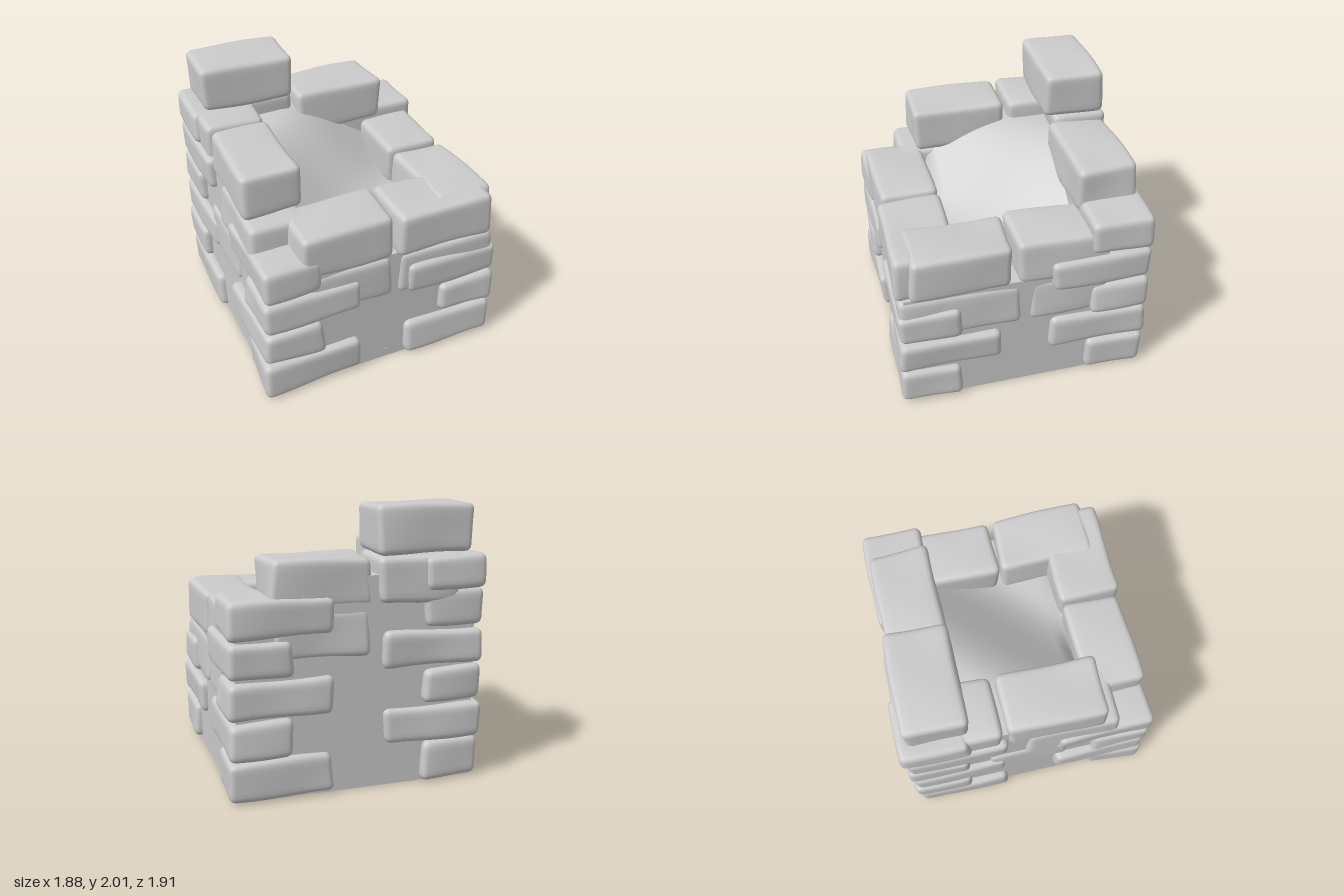
import * as THREE from 'three';
import { mergeVertices } from 'three/addons/utils/BufferGeometryUtils.js';

const material = new THREE.MeshStandardMaterial({ color: 0xcccccc });

// Small seeded generator, so that every stone is worn a little differently
let seed = 7;
const rand = () => {
  seed = (seed * 16807) % 2147483647;
  return seed / 2147483647;
};

// Worn stone filling the given bounds: rounded box with its corners pulled inwards
function stone(name, x0, x1, y0, y1, z0, z1, wear = 0.035) {
  const half = [(x1 - x0) / 2, (y1 - y0) / 2, (z1 - z0) / 2];
  const radius = Math.min(0.05, Math.min(...half) * 0.6);
  const pulls = Array.from({ length: 8 }, () => [rand() * wear, rand() * wear * 0.6, rand() * wear]);
  const phase = rand() * 6;
  let geometry = new THREE.BoxGeometry(2, 2, 2, 10, 10, 10);
  geometry.deleteAttribute('uv');
  geometry.deleteAttribute('normal');
  geometry = mergeVertices(geometry);
  const pos = geometry.attributes.position;
  const p = new THREE.Vector3();
  const inner = new THREE.Vector3();
  for (let i = 0; i < pos.count; i++) {
    p.fromBufferAttribute(pos, i);
    const u = p.toArray();
    // Crowd the grid lines into the rounded rim
    const q = u.map((v, a) => {
      const k = 1 - radius / half[a];
      const m = Math.abs(v);
      const t = m > 0.6 ? k + ((m - 0.6) / 0.4) * (1 - k) : (m / 0.6) * k;
      return Math.sign(v) * t * half[a];
    });
    p.fromArray(q);
    inner.fromArray(q.map((v, a) => THREE.MathUtils.clamp(v, radius - half[a], half[a] - radius)));
    p.sub(inner).setLength(radius).add(inner);
    // Blend the corner pulls across the stone, then add a slow ripple
    const out = p.toArray();
    const f = out.map((v, a) => v / half[a]);
    const pull = [0, 0, 0];
    for (let c = 0; c < 8; c++) {
      const w = [0, 1, 2].reduce((s, a) => s * (0.5 + ((c >> a) & 1 ? 0.5 : -0.5) * f[a]), 1);
      for (let a = 0; a < 3; a++) pull[a] += w * pulls[c][a];
    }
    const ripple = 0.006 * Math.sin(7 * p.x + 5 * p.y + 6 * p.z + phase);
    pos.setXYZ(i, ...out.map((v, a) => v - f[a] * (pull[a] + ripple)));
  }
  geometry.computeVertexNormals();
  const mesh = new THREE.Mesh(geometry, material);
  mesh.position.set((x0 + x1) / 2, (y0 + y1) / 2, (z0 + z1) / 2);
  mesh.name = name;
  return mesh;
}

// Solid core whose rough top slopes down from the back corner
function core() {
  const size = 1.74;
  const geometry = new THREE.BoxGeometry(size, 1, size, 24, 1, 24);
  const pos = geometry.attributes.position;
  for (let i = 0; i < pos.count; i++) {
    const x = pos.getX(i), z = pos.getZ(i);
    if (pos.getY(i) < 0) {
      pos.setY(i, 0);
      continue;
    }
    const s = x + z;
    let y = 1.52 - 0.53 * THREE.MathUtils.smoothstep(s, -0.75, 0.6);
    y += 0.012 * Math.sin(6 * x - 4 * z);
    pos.setY(i, z > 0.5 ? Math.min(y, 0.97) : y);
  }
  geometry.computeVertexNormals();
  const mesh = new THREE.Mesh(geometry, material);
  mesh.name = 'core';
  return mesh;
}

export function createModel() {
  seed = 7;
  const group = new THREE.Group();
  group.name = 'ruinedStoneBlock';
  group.add(core());

  // Corner stones, long side alternating between the two walls
  const levels = [0.005, 0.305, 0.58, 0.855, 1.13, 1.41];
  const corners = [
    { sx: 1, sz: 1, courses: 3, turn: 0 },
    { sx: 1, sz: -1, courses: 5, turn: 0 },
    { sx: -1, sz: 1, courses: 4, turn: 0 },
    { sx: -1, sz: -1, courses: 5, turn: 1 },
  ];
  for (const { sx, sz, courses, turn } of corners) {
    for (let i = 0; i < courses; i++) {
      const longX = (i + turn) % 2 === 0;
      const xs = [sx * (longX ? 0.17 : 0.46), sx * 0.945].sort((a, b) => a - b);
      const zs = [sz * (longX ? 0.46 : 0.17), sz * 0.945].sort((a, b) => a - b);
      group.add(stone('cornerStone', ...xs, levels[i], levels[i + 1], ...zs));
    }
  }

  // Stones set into the walls and along the broken rim
  const wallStones = [
    ['frontWallStone', -0.6, 0.08, 0.61, 0.96, 0.45, 0.91],
    ['frontWallStone', 0.1, 0.91, 0.6, 0.96, 0.45, 0.92],
    ['frontRimStone', -0.66, 0.09, 0.95, 1.31, 0.44, 0.92],
    ['frontRimStone', 0.09, 0.86, 0.95, 1.3, 0.44, 0.93],
    ['rightWallStone', 0.45, 0.91, 0.6, 0.96, 0.01, 0.74],
    ['rightWallStone', 0.45, 0.91, 0.6, 0.96, -0.65, -0.01],
    ['rightRimStone', 0.44, 0.91, 0.95, 1.31, 0.07, 0.83],
    ['rightRimStone', 0.44, 0.91, 0.95, 1.31, -0.65, 0.07],
    ['leftWallStone', -0.92, -0.45, 0.95, 1.31, -0.06, 0.66],
    ['leftWallStone', -0.91, -0.45, 0.6, 0.95, -0.35, 0.3],
    ['leftRimStone', -0.91, -0.44, 1.3, 1.66, -0.2, 0.55],
    ['leftRimStone', -0.91, -0.44, 1.3, 1.65, -0.72, -0.21],
    ['backWallStone', -0.11, 0.62, 0.95, 1.31, -0.91, -0.45],
    ['backRimStone', -0.11, 0.64, 1.3, 1.66, -0.91, -0.43],
    ['backRimStone', -0.75, -0.12, 1.31, 1.66, -0.93, -0.5],
    ['backCornerStone', -0.945, -0.44, 1.4, 1.66, -0.96, -0.43],
    ['topStone', -0.87, -0.11, 1.64, 2.01, -0.9, -0.42],
  ];
  for (const spec of wallStones) group.add(stone(...spec));

  // Small rock at the foot of the front wall
  group.add(stone('footRock', -0.14, 0.1, 0, 0.11, 0.76, 0.91, 0.07));

  return group;
}
